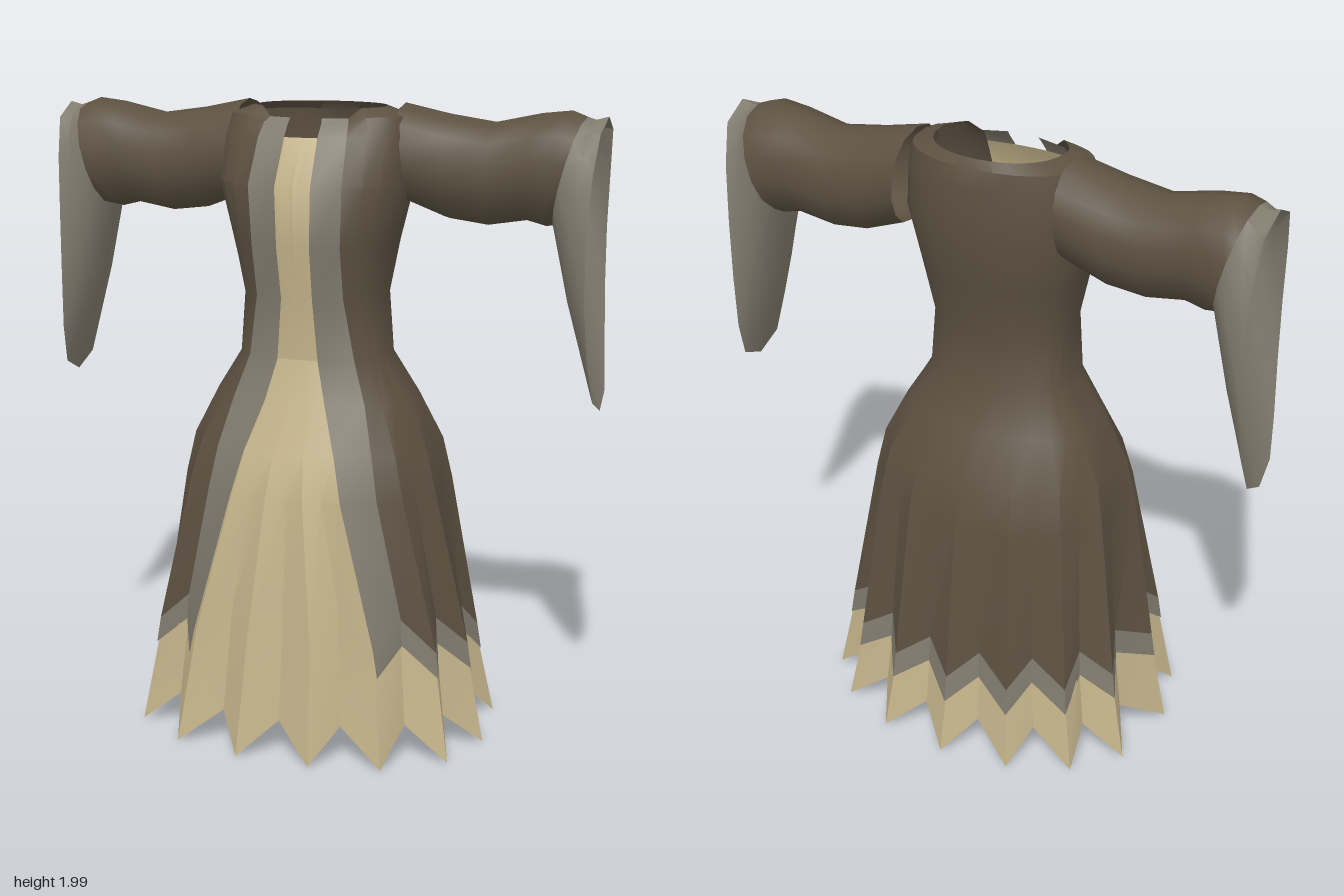
import * as THREE from 'three';
import { toCreasedNormals } from 'three/addons/utils/BufferGeometryUtils.js';

const cloth = (name, color) => {
  const m = new THREE.MeshStandardMaterial({ color, side: THREE.DoubleSide });
  m.name = name;
  return m;
};

// Skin a grid of points: point(row, col) -> [x, y, z]
function gridMesh(name, material, rows, cols, point, crease = 0.55) {
  const pos = [], index = [];
  for (let r = 0; r < rows; r++) for (let c = 0; c < cols; c++) pos.push(...point(r, c));
  for (let r = 0; r < rows - 1; r++) {
    for (let c = 0; c < cols - 1; c++) {
      const a = r * cols + c, b = a + 1, d = a + cols, e = d + 1;
      index.push(a, d, b, b, d, e);
    }
  }
  const g = new THREE.BufferGeometry();
  g.setAttribute('position', new THREE.Float32BufferAttribute(pos, 3));
  g.setIndex(index);
  const mesh = new THREE.Mesh(toCreasedNormals(g, crease), material);
  mesh.name = name;
  return mesh;
}

// y, half width, front z, back z, angle of robe edge, angle of trim edge, pleat depth,
// hem raise in valleys, neckline drop, hem tilt towards the back, roundness of the front
const UPPER = [
  [1.985, 0.195, 0.11, 0.165, 14, 37, 0, 0, 0.03, 0, 1.3],
  [1.96, 0.265, 0.12, 0.185, 11, 29, 0, 0, 0.02, 0, 0.75],
  [1.90, 0.278, 0.155, 0.195, 10.5, 29],
  [1.76, 0.285, 0.23, 0.2, 11, 30],
  [1.58, 0.24, 0.228, 0.175, 12, 34],
  [1.42, 0.21, 0.195, 0.135, 13, 39],
  [1.23, 0.225, 0.19, 0.14, 16, 46],
  [1.10, 0.305, 0.22, 0.205, 18, 43, 0.01],
  [0.95, 0.38, 0.28, 0.285, 22, 42, 0.04],
  [0.82, 0.41, 0.32, 0.315, 25, 44, 0.06],
  [0.38, 0.505, 0.373, 0.385, 35, 52, 0.13, 0.09, 0, 0.1],
];
const ROBE_ROWS = [...UPPER, [0.3, 0.518, 0.383, 0.4, 36, 52, 0.138, 0.09, 0, 0.11]];
const DRESS_ROWS = [...UPPER, [0.01, 0.57, 0.44, 0.44, 36, 52, 0.165, 0.11]];

// 15 pleats: odd columns are ridges, even columns are valleys
function bodyPoint(row, k, offset) {
  const [y, rx, zf, zb, edge, trim, pleat = 0, raise = 0, drop = 0, tilt = 0, round = 0.65] = row;
  const side = k > 15 ? -1 : 1, j = k > 15 ? 30 - k : k;
  const deg = j <= 3 ? (j / 3) * edge
    : j <= 4 ? edge + (j - 3) * (trim - edge)
    : trim + ((j - 4) / 11) * (180 - trim);
  const t = THREE.MathUtils.degToRad(deg), c = Math.cos(t);
  const valley = j % 2 === 0;
  const f = valley ? 1 - pleat : 1;
  const z = c > 0 ? Math.pow(c, round) * (zf + offset) : -Math.pow(-c, 0.78) * (zb + offset);
  return [
    side * Math.sin(t) * (rx + offset) * f,
    y + (valley ? raise : 0) - (j <= 4 ? drop : 0) - tilt * (1 - c) / 2,
    z * f,
  ];
}

function bodyPanel(name, material, rows, k0, k1, offset) {
  return gridMesh(name, material, rows.length, k1 - k0 + 1,
    (r, c) => bodyPoint(rows[r], k0 + c, offset));
}

// Tilted sleeve rings: top x, top y, bottom x, bottom y, half depth, roundness, dent of the sides
const SLEEVE = [
  [0.255, 1.995, 0.27, 1.70, 0.145],
  [0.40, 1.965, 0.40, 1.65, 0.14],
  [0.54, 1.945, 0.52, 1.635, 0.128],
  [0.68, 1.975, 0.64, 1.655, 0.135],
  [0.77, 1.985, 0.70, 1.64, 0.142],
  [0.815, 1.968, 0.73, 1.645, 0.146],
];
const CUFF = [
  SLEEVE[SLEEVE.length - 1],
  [0.84, 1.96, 0.785, 1.40, 0.145, 0.75],
  [0.878, 1.97, 0.882, 1.085, 0.155, 0.62, 0.028],
];

function sleeveTube(name, material, rings, side) {
  const n = 14;
  return gridMesh(name, material, rings.length, n + 1, (r, c) => {
    const [tx, ty, bx, by, hw, round = 0.85, dent = 0] = rings[r];
    const phi = (c / n) * Math.PI * 2, s = Math.sin(phi);
    const t = (1 - Math.cos(phi)) / 2;
    return [
      side * (tx + (bx - tx) * t - dent * s * s),
      ty + (by - ty) * t,
      -0.065 + Math.sign(s) * Math.pow(Math.abs(s), round) * hw,
    ];
  }, 0.7);
}

export function createModel() {
  const brown = cloth('dark brown cloth', 0x5c5141);
  const grey = cloth('grey trim', 0x817b6e);
  const tan = cloth('tan cloth', 0xc4b48a);
  const model = new THREE.Group();
  model.name = 'robeAndDress';

  // Inner dress: front strip from the chest, full skirt from the waist
  const strip = DRESS_ROWS.slice(2, 7);
  model.add(
    bodyPanel('dressFrontLeft', tan, strip, 0, 4, 0.004),
    bodyPanel('dressFrontRight', tan, strip, 26, 30, 0.004),
    bodyPanel('dressSkirt', tan, DRESS_ROWS.slice(6), 0, 30, 0.004),
  );

  // Outer robe with trimmed front edges and hem
  const last = ROBE_ROWS.length;
  model.add(
    bodyPanel('robe', brown, ROBE_ROWS.slice(0, last - 1), 4, 26, 0.012),
    bodyPanel('robeHemTrim', grey, ROBE_ROWS.slice(last - 2), 4, 26, 0.012),
    bodyPanel('robeTrimLeft', grey, ROBE_ROWS, 3, 4, 0.012),
    bodyPanel('robeTrimRight', grey, ROBE_ROWS, 26, 27, 0.012),
  );

  // Sleeves with long drooping cuffs
  for (const [label, side] of [['left', 1], ['right', -1]]) {
    model.add(
      sleeveTube(label + 'Sleeve', brown, SLEEVE, side),
      sleeveTube(label + 'Cuff', grey, CUFF, side),
    );
  }
  return model;
}
